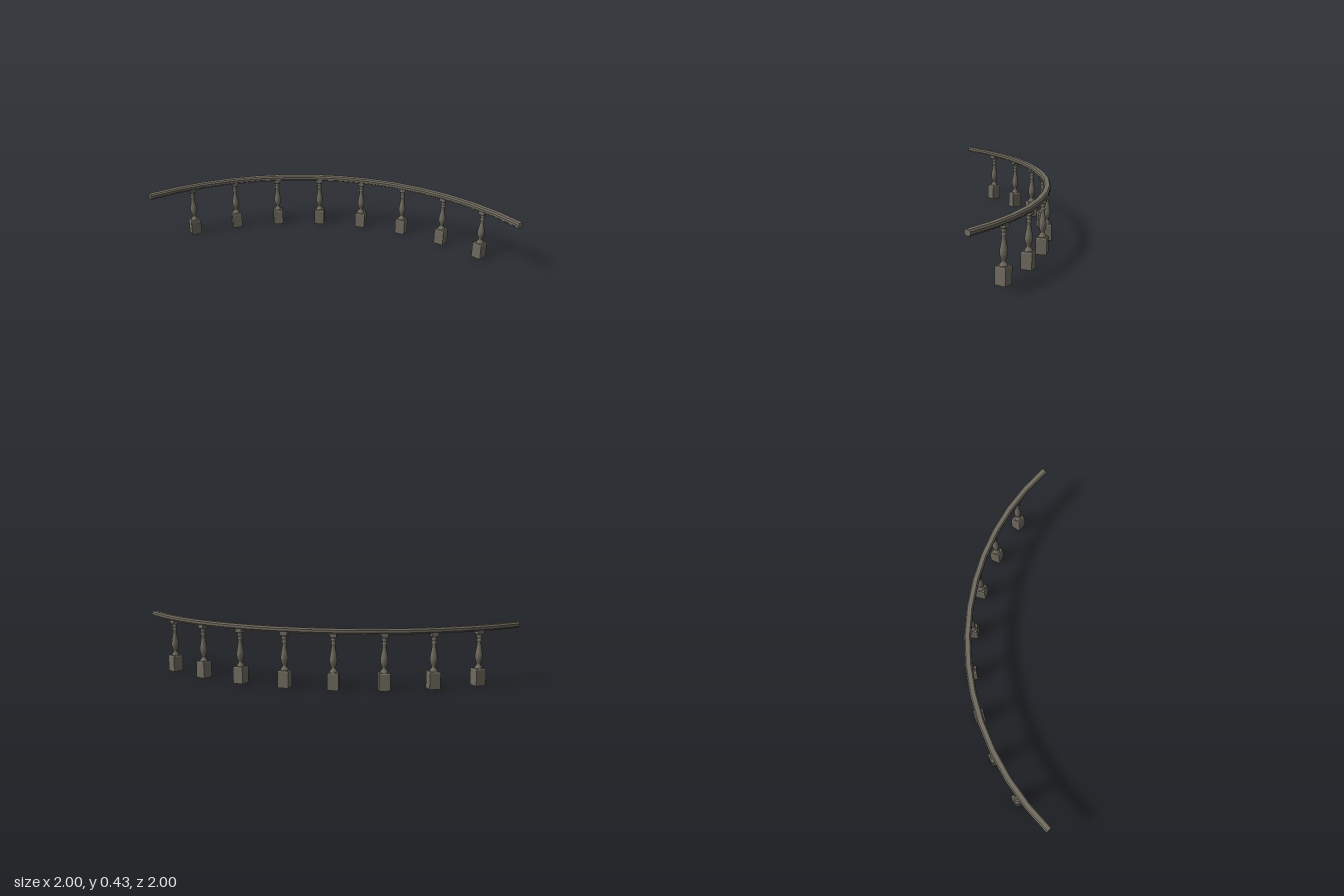
import * as THREE from 'three';

const RADIUS = 1.973; // centre line of the quarter circle
const v = (list) => list.map(([r, y]) => new THREE.Vector2(r, y));

// Faceted copy of a geometry
function faceted(geometry) {
  const g = geometry.toNonIndexed();
  g.computeVertexNormals();
  return g;
}

// Square block from [half width, y] pairs
function squareBlock(profile) {
  const points = v(profile.map(([h, y]) => [h * Math.SQRT2, y]));
  return faceted(new THREE.LatheGeometry(points, 4, Math.PI / 4));
}

export function createModel() {
  const model = new THREE.Group();
  const stone = new THREE.MeshStandardMaterial({ color: 0x706b60 });
  stone.name = 'greyBrownStone';

  const add = (parent, name, geometry) => {
    const mesh = new THREE.Mesh(geometry, stone);
    mesh.name = name;
    parent.add(mesh);
    return mesh;
  };

  // Everything turns about the corner of the quarter circle
  const arc = new THREE.Group();
  arc.name = 'curvedBalustrade';
  arc.position.set(-1, 0, 1);
  model.add(arc);

  // Handrail: moulded section swept in 14 straight steps
  const half = [[0.019, 0.385], [0.019, 0.392], [0.025, 0.397], [0.025, 0.414], [0.016, 0.425]];
  const section = v([
    ...half.map(([x, y]) => [RADIUS + x, y]),
    ...half.slice().reverse().map(([x, y]) => [RADIUS - x, y]),
  ]);
  const rail = new THREE.Group();
  rail.name = 'handrail';
  arc.add(rail);
  add(rail, 'railBody', faceted(
    new THREE.LatheGeometry([...section, section[0].clone()], 14, Math.PI / 2, Math.PI / 2)));
  const capGeometry = new THREE.ShapeGeometry(new THREE.Shape(section));
  add(rail, 'railEndFront', capGeometry);
  const backCap = add(rail, 'railEndBack', capGeometry);
  backCap.rotation.y = Math.PI / 2;
  backCap.scale.z = -1;

  // Baluster parts
  const plinth = squareBlock([[0, 0], [0.039, 0], [0.039, 0.113], [0.034, 0.121], [0, 0.121]]);
  const capital = squareBlock([[0, 0.362], [0.02, 0.362], [0.024, 0.368], [0.024, 0.39], [0, 0.39]]);
  const shaft = new THREE.LatheGeometry(v([
    [0.027, 0.119], [0.027, 0.128], [0.021, 0.136], [0.014, 0.146], [0.013, 0.154],
    [0.018, 0.166], [0.024, 0.185], [0.027, 0.205], [0.025, 0.228], [0.02, 0.255],
    [0.015, 0.285], [0.013, 0.31], [0.018, 0.315], [0.018, 0.323], [0.014, 0.327],
    [0.014, 0.336], [0.019, 0.341], [0.019, 0.349], [0.016, 0.354], [0.02, 0.364],
  ]), 14);

  // Eight balusters, each square to the rail
  for (let i = 0; i < 8; i++) {
    const angle = THREE.MathUtils.degToRad(135 + (i - 3.5) * 10.04);
    const baluster = new THREE.Group();
    baluster.name = `baluster${i + 1}`;
    baluster.position.set(RADIUS * Math.sin(angle), 0, RADIUS * Math.cos(angle));
    baluster.rotation.y = angle;
    add(baluster, 'plinth', plinth);
    add(baluster, 'shaft', shaft);
    add(baluster, 'capital', capital);
    arc.add(baluster);
  }
  return model;
}
